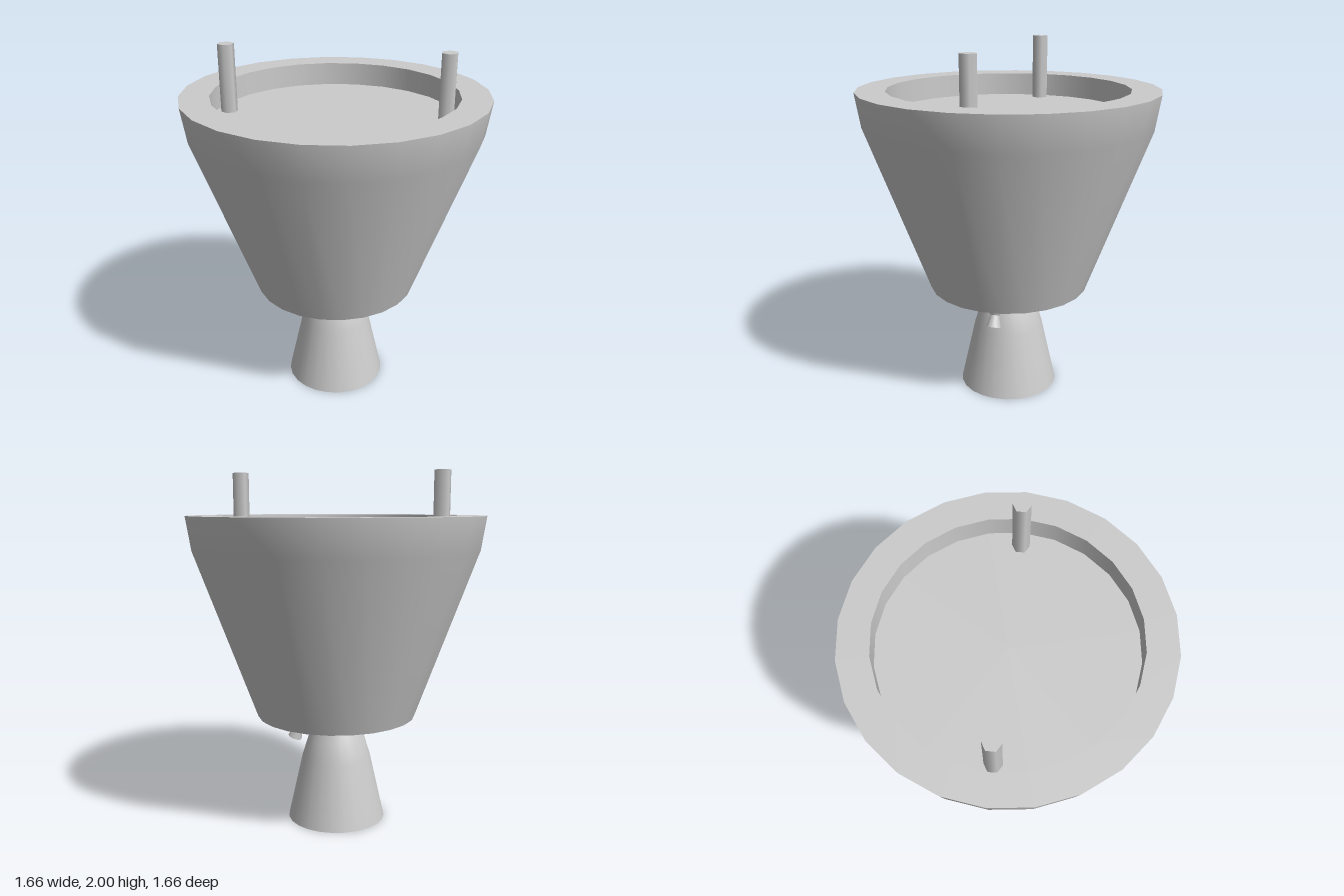
import * as THREE from 'three';

const material = new THREE.MeshStandardMaterial({ color: 0xcccccc });
const doubleSided = new THREE.MeshStandardMaterial({ color: 0xcccccc, side: THREE.DoubleSide });

function add(parent, name, geometry, mat = material) {
  const mesh = new THREE.Mesh(geometry, mat);
  mesh.name = name;
  parent.add(mesh);
  return mesh;
}

// Surface of revolution from [radius, height] pairs
function lathe(parent, name, points, segments = 24, mat = material) {
  const profile = points.map(([r, y]) => new THREE.Vector2(r, y));
  return add(parent, name, new THREE.LatheGeometry(profile, segments), mat);
}

// Cylinder or cone running from a to b
function rod(parent, name, a, b, rA, rB, sides = 12, open = false) {
  const from = new THREE.Vector3(...a), to = new THREE.Vector3(...b);
  const dir = to.clone().sub(from);
  const geometry = new THREE.CylinderGeometry(rB, rA, dir.length(), sides, 1, open);
  const mesh = add(parent, name, geometry, open ? doubleSided : material);
  mesh.position.copy(from).add(to).multiplyScalar(0.5);
  mesh.quaternion.setFromUnitVectors(new THREE.Vector3(0, 1, 0), dir.normalize());
  return mesh;
}

export function createModel() {
  const model = new THREE.Group();

  // Tapered body: separate bands keep the rims crisp
  const body = new THREE.Group();
  body.name = 'body';
  model.add(body);
  lathe(body, 'outerShell', [[0.455, 0.625], [0.8, 1.57], [0.83, 1.76]]);
  lathe(body, 'topRim', [[0.83, 1.76], [0.667, 1.76]]);
  lathe(body, 'recessWall', [[0.667, 1.76], [0.667, 1.63]]);
  lathe(body, 'recessFloor', [[0.667, 1.63], [0, 1.63]]);
  lathe(body, 'bottomRim', [[0.41, 0.625], [0.455, 0.625]]);
  lathe(body, 'cavityWall', [[0.49, 0.85], [0.41, 0.625]]);
  lathe(body, 'cavityCeiling', [[0, 0.85], [0.49, 0.85]]);

  // Two hexagonal pegs standing on the recess floor
  for (const x of [-0.595, 0.59]) {
    rod(model, 'peg', [x, 1.63, 0], [x, 2, 0], 0.046, 0.046, 6);
  }

  // Main engine: hollow bell and flared chamber
  const engine = new THREE.Group();
  engine.name = 'engine';
  model.add(engine);
  const bell = [[0.283, 0], [0.2, 0.37], [0.165, 0.48], [0.125, 0.57]];
  lathe(engine, 'bellOutside', bell);
  lathe(engine, 'bellInside', bell.map(([r, y]) => [r - 0.013, y]).reverse());
  lathe(engine, 'bellLip', [[0.27, 0], [0.283, 0]]);
  lathe(engine, 'bellTop', [[0.125, 0.57], [0, 0.57]], 24, doubleSided);
  lathe(engine, 'chamber', [[0.12, 0.57], [0.145, 0.66], [0.15, 0.85]]);

  // Exhaust pipe bending outward, ending in a small nozzle
  const exhaust = new THREE.Group();
  exhaust.name = 'exhaust';
  model.add(exhaust);
  const path = new THREE.CurvePath();
  const v = (x, y) => new THREE.Vector3(x, y, 0);
  path.add(new THREE.LineCurve3(v(0.185, 0.85), v(0.185, 0.71)));
  path.add(new THREE.QuadraticBezierCurve3(v(0.185, 0.71), v(0.185, 0.665), v(0.202, 0.62)));
  path.add(new THREE.LineCurve3(v(0.202, 0.62), v(0.223, 0.563)));
  add(exhaust, 'exhaustPipe', new THREE.TubeGeometry(path, 16, 0.04, 12));
  rod(exhaust, 'exhaustCollar', [0.223, 0.563, 0], [0.237, 0.525, 0], 0.04, 0.032);
  rod(exhaust, 'exhaustThroat', [0.237, 0.525, 0], [0.241, 0.514, 0], 0.032, 0.025);
  rod(exhaust, 'exhaustNozzle', [0.241, 0.514, 0], [0.265, 0.45, 0], 0.025, 0.042, 12, true);

  // Slanted strut from the throat to the cavity
  rod(model, 'strut', [-0.08, 0.59, 0.08], [-0.25, 0.85, 0.25], 0.014, 0.014, 8);

  return model;
}
